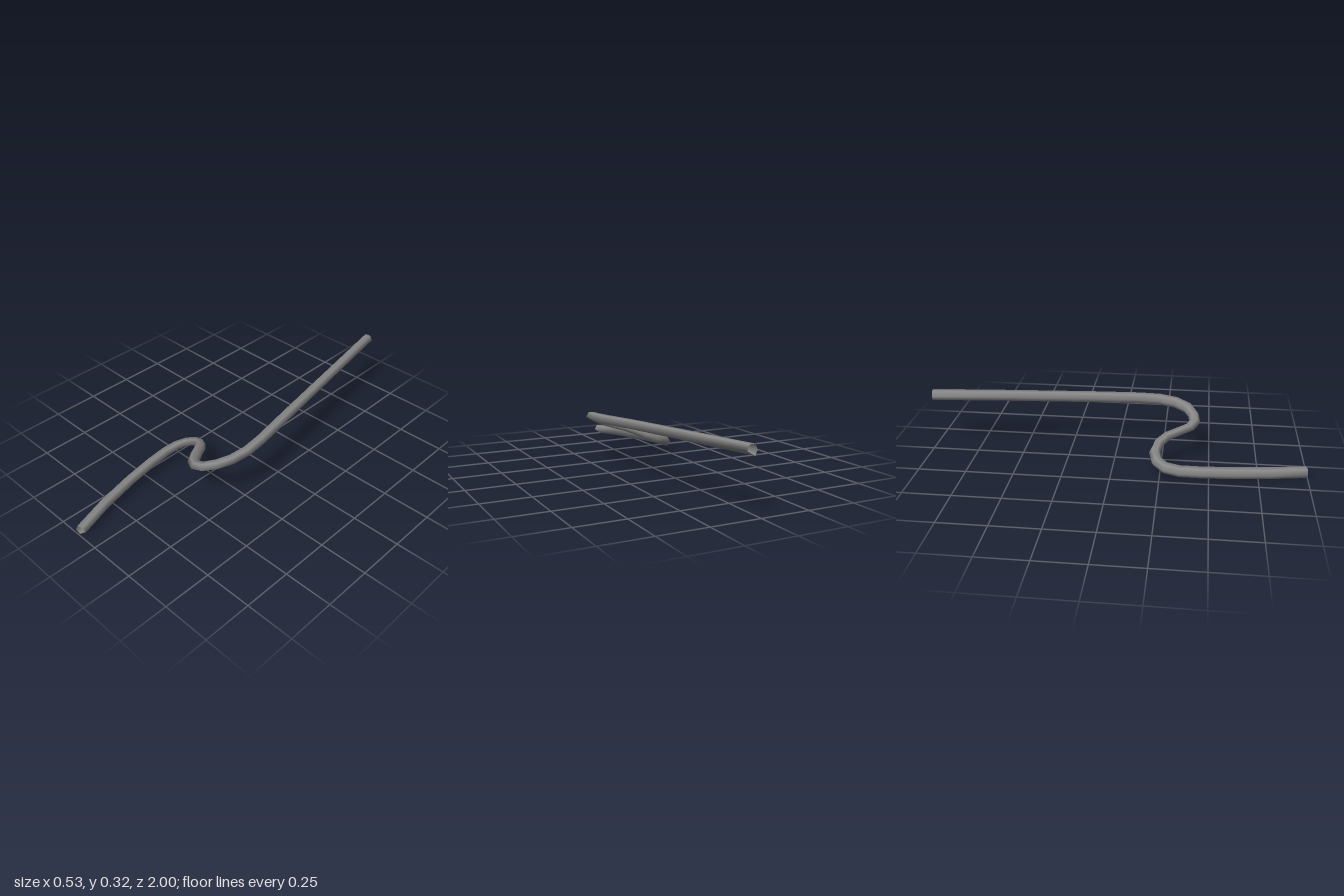
import * as THREE from 'three';

const RADIUS = 0.03, SIDES = 5;

// Centreline of the bent rod, from the front end to the back end
const PATH = [
  [-0.112, 0.029, 0.992], [-0.164, 0.040, 0.81], [-0.203, 0.049, 0.62],
  [-0.226, 0.056, 0.46], [-0.234, 0.061, 0.35], [-0.223, 0.070, 0.28],
  [-0.19, 0.086, 0.236], [-0.135, 0.110, 0.221], [-0.085, 0.134, 0.238],
  [-0.045, 0.154, 0.278], [-0.01, 0.167, 0.336], [0.03, 0.176, 0.390],
  [0.08, 0.190, 0.417], [0.13, 0.209, 0.410], [0.18, 0.230, 0.375],
  [0.217, 0.244, 0.31], [0.232, 0.253, 0.22], [0.223, 0.259, 0.11],
  [0.185, 0.270, -0.13], [0.12, 0.285, -0.55], [0.05, 0.299, -0.995],
].map((p) => new THREE.Vector3(...p));

// Five corners of a hexagon, leaving one wide face below, swept along the path
// with a slight roll at the front end
function sweep(curve, steps) {
  const positions = [], index = [];
  const up = new THREE.Vector3(0, 1, 0);
  for (let i = 0; i <= steps; i++) {
    const t = i / steps;
    const centre = curve.getPoint(t);
    const tangent = curve.getTangent(t);
    const side = up.clone().cross(tangent).normalize();
    const normal = tangent.clone().cross(side);
    for (let j = 0; j < SIDES; j++) {
      const a = (j - 1) * Math.PI / 3 - 0.1 * (1 - t);
      const v = centre.clone()
        .addScaledVector(side, Math.cos(a) * RADIUS)
        .addScaledVector(normal, Math.sin(a) * RADIUS);
      positions.push(v.x, v.y, v.z);
      if (i === steps) continue;
      const p = i * SIDES + j, q = i * SIDES + (j + 1) % SIDES;
      index.push(p, q, p + SIDES, q, q + SIDES, p + SIDES);
    }
  }
  const geometry = new THREE.BufferGeometry();
  geometry.setAttribute('position', new THREE.Float32BufferAttribute(positions, 3));
  geometry.setIndex(index);
  geometry.computeVertexNormals();
  return geometry;
}

export function createModel() {
  const group = new THREE.Group();
  group.name = 'bentRod';

  // Open-ended rod with an S-shaped double bend
  const curve = new THREE.CatmullRomCurve3(PATH, false, 'centripetal');
  const material = new THREE.MeshStandardMaterial({ color: 0x888888, side: THREE.DoubleSide });
  const rod = new THREE.Mesh(sweep(curve, PATH.length - 1), material);
  rod.name = 'rod';
  group.add(rod);
  return group;
}
